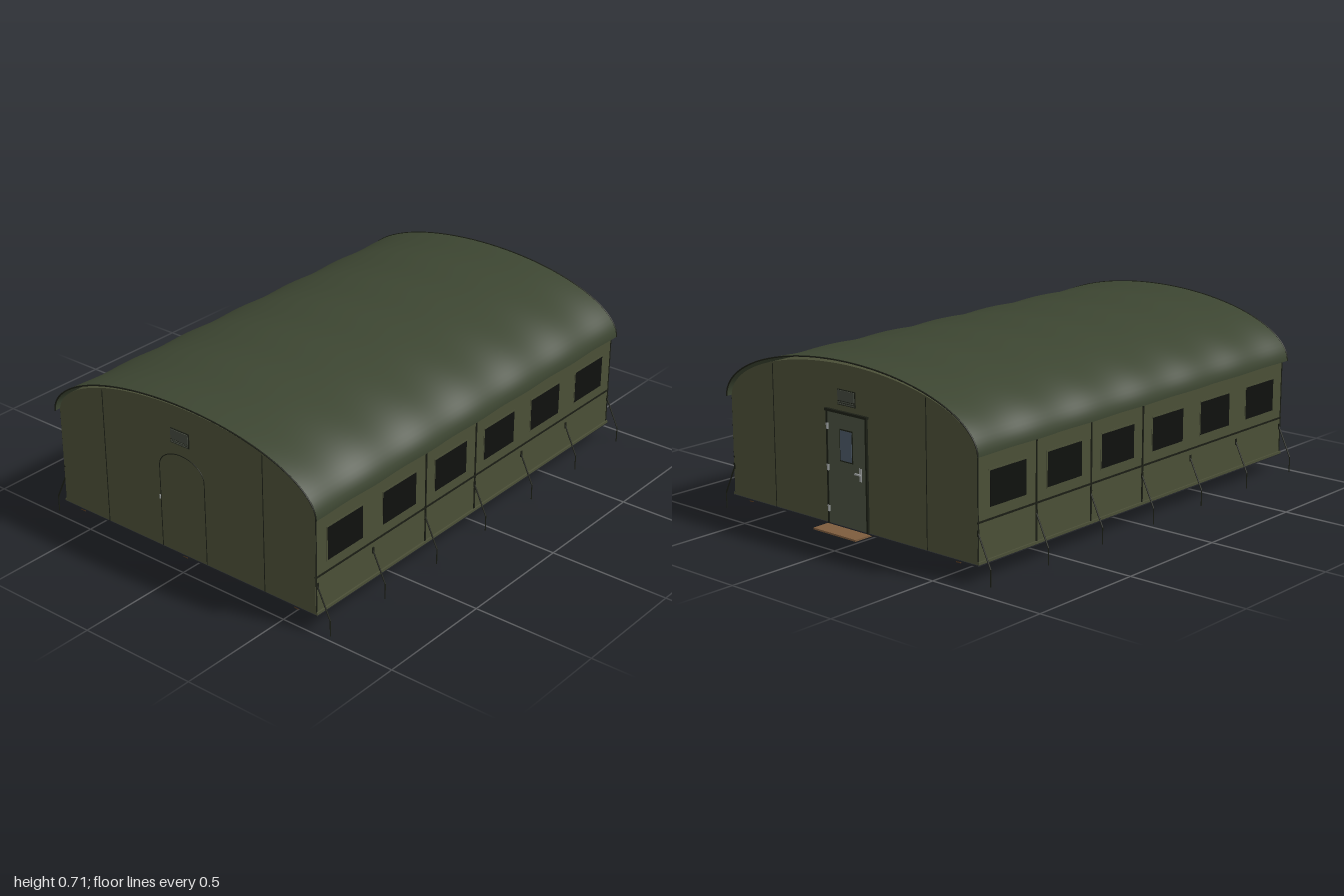
import * as THREE from 'three';
import { ParametricGeometry } from 'three/addons/geometries/ParametricGeometry.js';

const mat = (color, side = THREE.FrontSide) => new THREE.MeshStandardMaterial({ color, side });
const M = {
  wall: mat(0x4b4f37), roof: mat(0x3c4531, THREE.DoubleSide), trim: mat(0x1b1e15),
  window: mat(0x0f110e), floor: mat(0x24262a), wood: mat(0x7d5c3d), skid: mat(0x5a3a20),
  door: mat(0x4a5140), glass: mat(0x4b5866), metal: mat(0xa0a4a4), vent: mat(0x44493f),
};

const HALF = 0.642, BASE = 0.07, EAVE = 0.47, BACK = -0.92, FRONT = 0.985;
const frames = Array.from({ length: 7 }, (_, i) => 0.975 - i * 0.315);

export function createModel() {
  const root = new THREE.Group();

  const add = (name, geometry, material, parent = root) => {
    const mesh = new THREE.Mesh(geometry, material);
    mesh.name = name;
    parent.add(mesh);
    return mesh;
  };
  // Box given by its low and high limits on each axis
  const box = (name, x0, x1, y0, y1, z0, z1, material, parent) => {
    const m = add(name, new THREE.BoxGeometry(x1 - x0, y1 - y0, z1 - z0), material, parent);
    m.position.set((x0 + x1) / 2, (y0 + y1) / 2, (z0 + z1) / 2);
    return m;
  };
  // Thin rod through a list of points
  const rod = (name, pts, r, material, parent) => {
    const path = new THREE.CurvePath();
    const v = pts.map((p) => new THREE.Vector3(...p));
    for (let i = 1; i < v.length; i++) path.add(new THREE.LineCurve3(v[i - 1], v[i]));
    return add(name, new THREE.TubeGeometry(path, (v.length - 1) * 4, r, 6), material, parent);
  };

  // Body: vertical walls under an elliptical arch
  const profile = new THREE.Shape();
  profile.moveTo(-HALF, BASE);
  profile.lineTo(HALF, BASE);
  profile.lineTo(HALF, EAVE);
  profile.absellipse(0, EAVE, HALF, 0.225, 0, Math.PI);
  profile.lineTo(-HALF, BASE);
  const bodyGeo = new THREE.ExtrudeGeometry(profile, { depth: FRONT - BACK, bevelEnabled: false, curveSegments: 48 });
  add('body', bodyGeo, M.wall).position.z = BACK;

  // Roof sheet sagging slightly between the frames
  const roofPoint = (u, v, target) => {
    const z = -0.935 + v * 1.935;
    const sag = 0.006 * Math.sin(((z - 0.975) / 0.315) * Math.PI) ** 2;
    const a = Math.PI * u;
    target.set((0.658 - sag * 0.7) * Math.cos(a), EAVE + (0.241 - sag) * Math.sin(a), z);
  };
  add('roofSheet', new ParametricGeometry(roofPoint, 48, 96), M.roof);

  // Bindings along the roof's open ends
  for (const v of [0, 1]) {
    const pts = Array.from({ length: 41 }, (_, i) => {
      const p = new THREE.Vector3();
      roofPoint(i / 40, v, p);
      p.z += v ? -0.003 : 0.003;
      return p;
    });
    add('roofBinding', new THREE.TubeGeometry(new THREE.CatmullRomCurve3(pts), 80, 0.003, 6), M.trim);
  }

  // Floor, lower lip and skids
  box('floor', -0.648, 0.648, 0.065, 0.071, BACK - 0.004, FRONT + 0.002, M.floor);
  for (const x of [-0.55, 0, 0.55]) box('skid', x - 0.01, x + 0.01, 0.059, 0.066, BACK, FRONT, M.skid);

  // Side walls: windows, seams, lip and guy lines
  for (const s of [-1, 1]) {
    const side = new THREE.Group();
    side.name = s > 0 ? 'leftSide' : 'rightSide';
    root.add(side);
    const panel = (name, out, y0, y1, z0, z1, m) =>
      box(name, Math.min(s * 0.636, s * out), Math.max(s * 0.636, s * out), y0, y1, z0, z1, m, side);

    panel('lip', 0.649, 0.07, 0.08, BACK, FRONT, M.wall);
    panel('beltSeam', 0.645, 0.222, 0.229, BACK, FRONT, M.trim);
    for (let i = 0; i < 6; i++) {
      const z = 0.82 - i * 0.315;
      panel('windowFrame', 0.6435, 0.265, 0.41, z - 0.103, z + 0.103, M.wall);
      panel('window', 0.6445, 0.27, 0.404, z - 0.098, z + 0.098, M.window);
    }
    const seams = s > 0 ? [2, 3] : [3, 4, 5];
    for (const i of seams) panel('zipSeam', 0.645, 0.08, EAVE, frames[i] - 0.0035, frames[i] + 0.0035, M.trim);
    for (const z of [FRONT - 0.004, BACK + 0.004]) panel('cornerSeam', 0.6435, BASE, EAVE, z - 0.003, z + 0.003, M.trim);
    for (const z of frames) {
      rod('guyStrap', [[s * 0.641, 0.19, z], [s * 0.701, 0.065, z]], 0.003, M.trim, side);
      rod('stake', [[s * 0.701, 0.067, z], [s * 0.701, 0, z]], 0.0022, M.trim, side);
      panel('strapPatch', 0.645, 0.175, 0.2, z - 0.005, z + 0.005, M.trim);
    }
  }

  // Louvred vent and panel seams shared by both end walls
  for (const [wallZ, d] of [[FRONT, 1], [BACK, -1]]) {
    const end = new THREE.Group();
    end.name = d > 0 ? 'frontEnd' : 'backEnd';
    end.position.z = wallZ;
    end.rotation.y = d > 0 ? 0 : Math.PI;
    root.add(end);
    for (const x of [-0.4, 0.4]) box('endSeam', x - 0.0015, x + 0.0015, BASE, 0.64, -0.004, 0.0015, M.trim, end);
    box('ventFrame', -0.046, 0.046, 0.54, 0.6, -0.004, 0.004, M.trim, end);
    box('ventFlap', -0.043, 0.043, 0.558, 0.597, 0, 0.007, M.vent, end);
    for (let i = 0; i < 2; i++) box('ventSlat', -0.043, 0.043, 0.543 + i * 0.007, 0.547 + i * 0.007, 0, 0.006, M.vent, end);
  }

  // Front: zipped arched doorway
  const arch = [[-0.113, BASE, FRONT], [-0.113, 0.42, FRONT]];
  for (let i = 1; i < 16; i++) {
    const a = Math.PI * (1 - i / 16);
    arch.push([0.113 * Math.cos(a), 0.42 + 0.075 * Math.sin(a), FRONT]);
  }
  arch.push([0.113, 0.42, FRONT], [0.113, BASE, FRONT]);
  // Straight pieces are separate so the arch stays evenly sampled
  rod('doorwayZip', arch.slice(1, -1), 0.002, M.trim);
  for (const x of [-0.113, 0.113]) rod('doorwayZip', [[x, BASE, FRONT], [x, 0.42, FRONT]], 0.002, M.trim);
  box('zipPull', -0.118, -0.113, 0.276, 0.292, FRONT, FRONT + 0.005, M.metal);

  // Back: rigid door with frame, glazing and hardware
  const door = new THREE.Group();
  door.name = 'backDoor';
  root.add(door);
  const z = BACK;
  for (const s of [-1, 1]) box('doorJamb', s * 0.102 - 0.004, s * 0.102 + 0.004, BASE, 0.515, z - 0.009, z, M.trim, door);
  box('doorHeader', -0.11, 0.11, 0.508, 0.518, z - 0.012, z, M.trim, door);
  box('doorPanel', -0.098, 0.098, 0.074, 0.508, z - 0.007, z, M.door, door);
  box('doorGlassFrame', -0.034, 0.034, 0.325, 0.45, z - 0.009, z, M.trim, door);
  box('doorGlass', -0.03, 0.03, 0.33, 0.445, z - 0.0105, z, M.glass, door);
  box('handlePlate', -0.078, -0.066, 0.265, 0.315, z - 0.009, z, M.metal, door);
  box('handleLever', -0.074, -0.045, 0.288, 0.294, z - 0.015, z - 0.009, M.metal, door);
  for (const y of [0.13, 0.29, 0.45]) box('hinge', 0.094, 0.104, y - 0.012, y + 0.012, z - 0.011, z, M.metal, door);
  box('doorStep', -0.112, 0.112, 0.06, 0.067, -1, -0.9, M.wood);

  return root;
}
